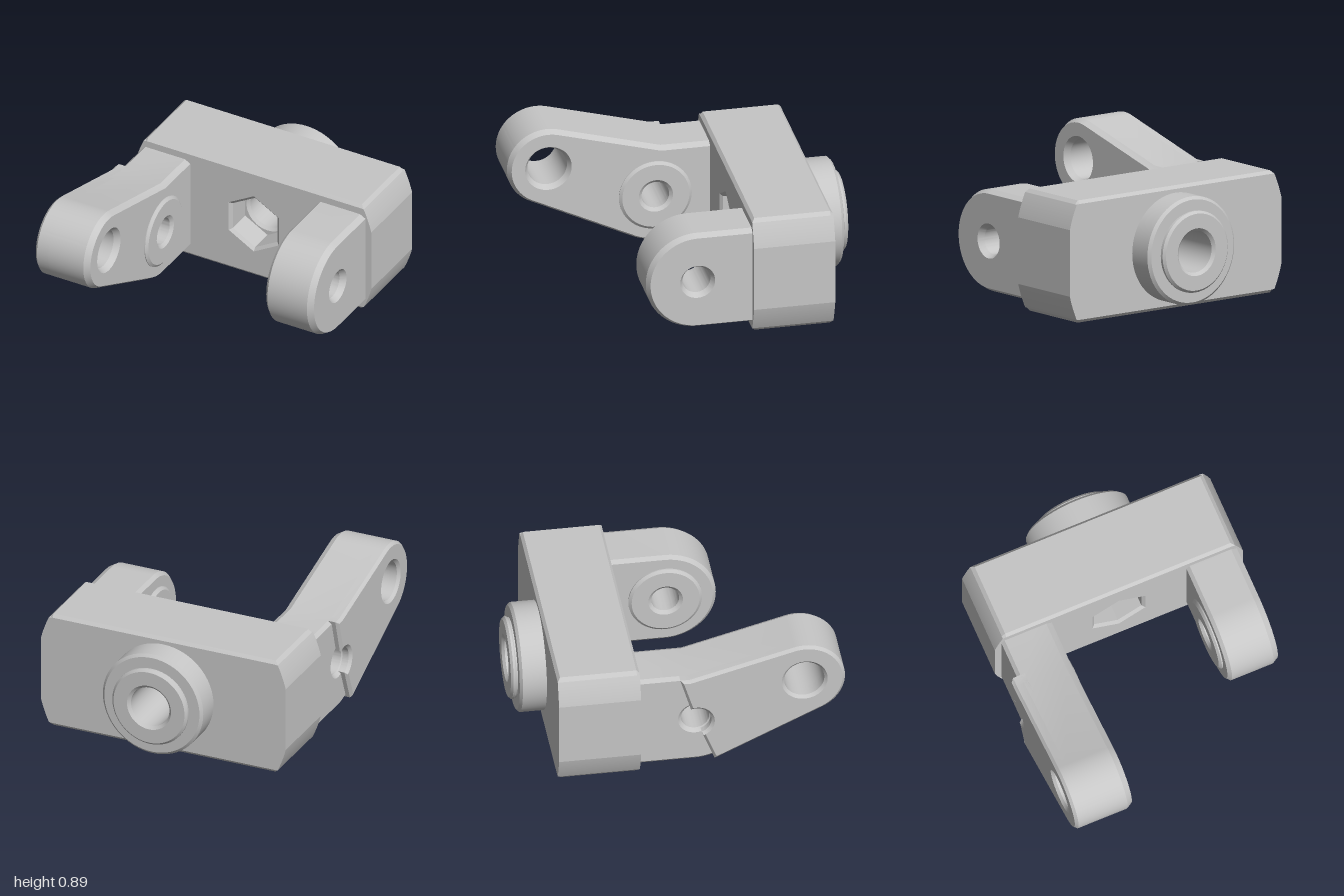
import * as THREE from 'three';
import { toCreasedNormals } from 'three/addons/utils/BufferGeometryUtils.js';

const AXIS_Y = 0.39;                       // height of the main bore and the pivots
const PIVOT = { z: 0.07, y: AXIS_Y, r: 0.32 };
const TIP = { z: 0.745, y: 0.64, r: 0.254 };
const rad = THREE.MathUtils.degToRad;

function circleHole(x, y, r) {
  return new THREE.Path().absarc(x, y, r, 0, Math.PI * 2, true);
}

function arc(shape, c, from, to, r = c.r, clockwise = false) {
  shape.absarc(c.z, c.y, r, rad(from), rad(to), clockwise);
}

export function createModel() {
  const group = new THREE.Group();
  const steel = new THREE.MeshStandardMaterial({ color: 0xc6c6c6 });
  steel.name = 'light grey steel';

  function add(name, geometry, crease = 25) {
    const mesh = new THREE.Mesh(toCreasedNormals(geometry, rad(crease)), steel);
    mesh.name = name;
    group.add(mesh);
    return mesh;
  }

  // Slab of the block: flat top and bottom, ends cut by a large circle and a flat
  function slab(name, z0, z1, hole, outerEnd) {
    const R = 0.86, half = 0.385;
    const a1 = Math.asin(0.363 / R), a0 = Math.acos(0.834 / R);
    const shape = new THREE.Shape();
    shape.absarc(0, AXIS_Y, R, -a1, -a0, false);
    shape.absarc(0, AXIS_Y, R, a0, a1, false);
    shape.lineTo(0.757, AXIS_Y + half);
    shape.lineTo(-0.757, AXIS_Y + half);
    shape.absarc(0, AXIS_Y, R, Math.PI - a1, Math.PI - a0, false);
    shape.absarc(0, AXIS_Y, R, Math.PI + a0, Math.PI + a1, false);
    shape.lineTo(-0.757, AXIS_Y - half);
    shape.lineTo(0.757, AXIS_Y - half);
    shape.closePath();
    shape.holes.push(hole);
    const t = 0.018;
    const geo = new THREE.ExtrudeGeometry(shape, {
      depth: z1 - z0 - 2 * t, bevelThickness: t, bevelSize: 0, bevelSegments: 1, curveSegments: 12,
    });
    geo.translate(0, 0, z0 + t);
    // chamfer the long edges and the mouth of the pocket at the exposed end
    const p = geo.attributes.position;
    for (let i = 0; i < p.count; i++) {
      if (Math.abs(p.getZ(i) - outerEnd) > 0.001) continue;
      const x = p.getX(i), y = p.getY(i) - AXIS_Y;
      if (Math.hypot(x, y) < 0.3) {
        const k = outerEnd === z1 ? 1.12 : 1;
        p.setXY(i, x * k, AXIS_Y + y * k);
      } else {
        p.setY(i, AXIS_Y + THREE.MathUtils.clamp(y, -0.365, 0.365));
      }
    }
    add(name, geo, 10);
  }

  const hex = new THREE.Path();
  for (let i = 0; i < 6; i++) {
    const a = rad(90 - i * 60);
    hex[i ? 'lineTo' : 'moveTo'](0.183 * Math.cos(a), AXIS_Y + 0.183 * Math.sin(a));
  }
  hex.closePath();
  slab('blockFrontWithHexPocket', -0.45, -0.277, hex, -0.277);
  slab('blockRear', -0.79, -0.45, circleHole(0, AXIS_Y, 0.15), -0.79);

  // Ring turned from a profile of [radius, distance along the axis]
  function turned(name, profile) {
    const points = profile.map(([r, s]) => new THREE.Vector2(r, s));
    return add(name, new THREE.LatheGeometry(points, 64));
  }

  // Stepped boss on the back, with the bore running through to the hex pocket
  const boss = turned('rearBoss', [
    [0.342, 0.78], [0.342, 0.94], [0.324, 0.957], [0.25, 0.957], [0.25, 0.965], [0.257, 0.972],
    [0.257, 0.985], [0.242, 1.0], [0.15, 1.0], [0.131, 0.982], [0.131, 0.468], [0.15, 0.45],
  ]);
  boss.rotation.x = -Math.PI / 2;
  boss.position.y = AXIS_Y;

  // Arm plate: outline in (z, y), spanning x0 to x1, chamfered all round;
  // the chamfer on the +x side runs back by "deep"
  function armPlate(name, shape, x0, x1, c, deep) {
    const geo = new THREE.ExtrudeGeometry(shape, {
      depth: x1 - x0 - 2 * c, bevelThickness: c, bevelSize: c, bevelOffset: -c,
      bevelSegments: 1, curveSegments: 32,
    });
    geo.rotateY(-Math.PI / 2);
    geo.translate(x1 - c, 0, 0);
    const p = geo.attributes.position;
    for (let i = 0; i < p.count; i++) {
      if (Math.abs(p.getX(i) - (x1 - c)) < 0.001) p.setX(i, x1 - deep);
    }
    add(name, geo);
  }

  const root = -0.4, low = PIVOT.y - PIVOT.r, high = PIVOT.y + PIVOT.r;
  const pivotHole = () => circleHole(PIVOT.z, PIVOT.y, 0.088);
  const tipHole = () => circleHole(TIP.z, TIP.y, 0.125);

  // Outline shared by both arms up to the pivot end
  function armOutline(sweepEnd) {
    const shape = new THREE.Shape();
    shape.moveTo(root, high);
    shape.lineTo(root, low);
    arc(shape, PIVOT, -90, sweepEnd);
    return shape;
  }

  // Short arm
  const short = armOutline(90);
  short.closePath();
  short.holes.push(pivotHole());
  armPlate('shortArm', short, 0.453, 0.792, 0.022, 0.038);

  // Long arm, rising to the tip eye
  const long = armOutline(-64.4);
  arc(long, TIP, -64.4, 105);
  long.lineTo(0.03, high);
  long.closePath();
  long.holes.push(pivotHole(), tipHole());
  armPlate('longArm', long, -0.79, -0.45, 0.022, 0.038);

  // Raised outer pad of the long arm, ending square to the arm and notched at the pivot
  const pad = new THREE.Shape();
  arc(pad, PIVOT, -69, -64.4);
  arc(pad, TIP, -64.4, 105);
  pad.lineTo(0.03, high);
  pad.lineTo(-0.03, high);
  arc(pad, PIVOT, 110.3, -69.7, 0.095, true);
  pad.closePath();
  pad.holes.push(tipHole());
  armPlate('longArmOuterPad', pad, -0.835, -0.72, 0.018, 0.018);

  // Pivot rings on the inner faces of both arms
  for (const side of [-1, 1]) {
    const ring = turned(side < 0 ? 'longArmPivotRing' : 'shortArmPivotRing', [
      [0.23, -0.02], [0.23, 0.008], [0.212, 0.022], [0.108, 0.022], [0.087, 0.004], [0.087, -0.05],
    ]);
    ring.rotation.z = side * Math.PI / 2;
    ring.position.set(side * 0.453, PIVOT.y, PIVOT.z);
  }

  return group;
}
